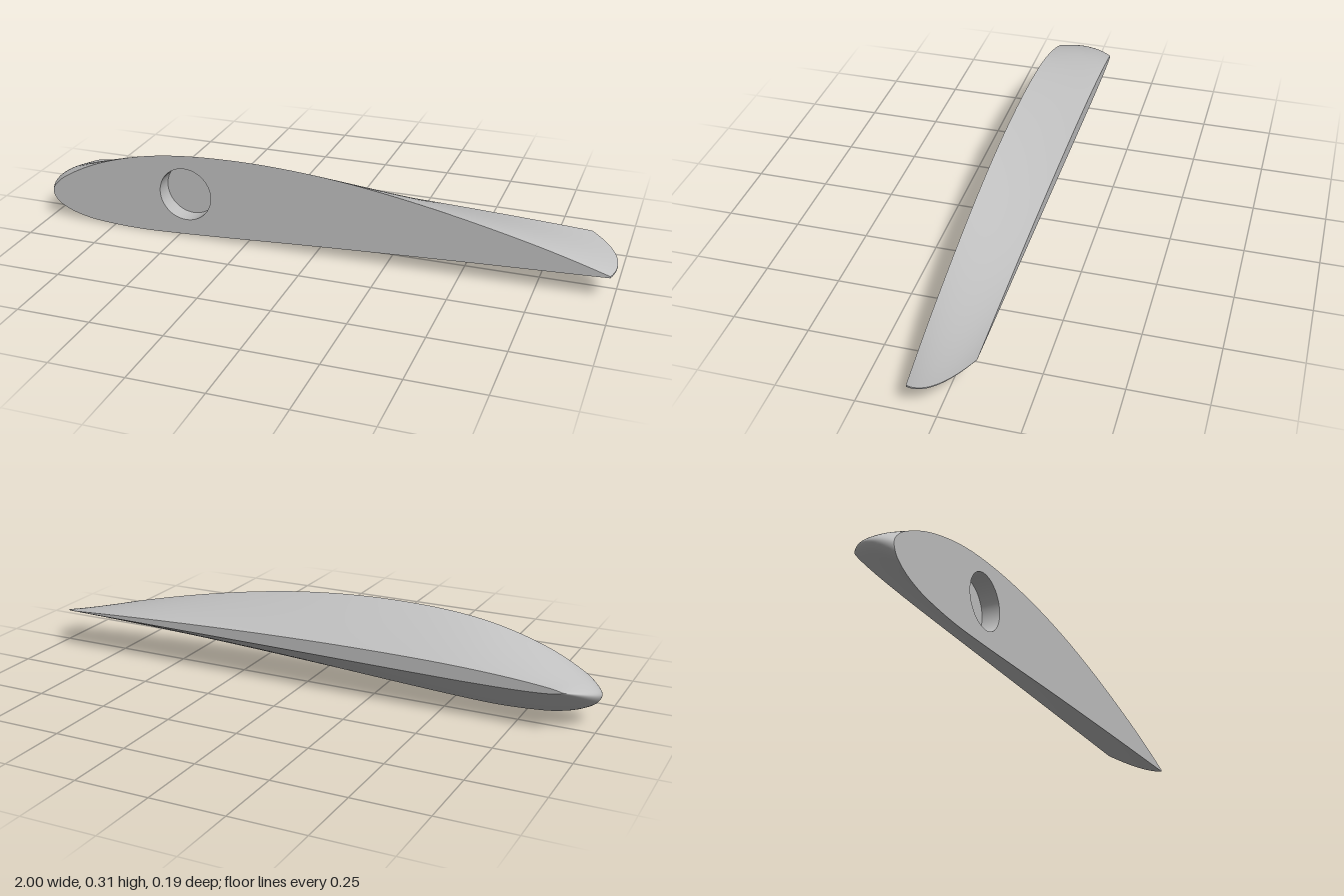
import * as THREE from 'three';

const DEPTH = 0.093; // half span in z
const HOLE = { x: -0.47, y: 0.157, r: 0.095, depth: 0.063 };

// Quadratic through values at t = -1 (tip), 0 (middle), 1 (root)
const quad = (a, b, c, t) => b + ((c - a) / 2) * t + ((a + c) / 2 - b) * t * t;

// Root aerofoil, from the upper trailing edge round the nose to the lower one
const ROOT = [
  [0.986, 0.088], [0.85, 0.129], [0.72, 0.164], [0.5, 0.215], [0.3, 0.254], [0.1, 0.284],
  [-0.1, 0.302], [-0.3, 0.307], [-0.5, 0.297], [-0.65, 0.273], [-0.8, 0.228], [-0.9, 0.181],
  [-0.96, 0.141], [-0.988, 0.102], [-0.975, 0.066], [-0.93, 0.036], [-0.85, 0.013],
  [-0.75, 0.003], [-0.64, 0], [-0.5, 0.005], [-0.3, 0.016], [0, 0.034], [0.5, 0.06], [0.986, 0.082],
];
const profile = new THREE.CatmullRomCurve3(ROOT.map(([x, y]) => new THREE.Vector3(x, y, 0)))
  .getPoints(138)
  .map((p) => [(p.x + 0.988) / 1.974, p.y / 0.307]);

// Cross-section at t: chord bows out at both ends while thickness shrinks to the tip
function section(t) {
  const left = -quad(0.91, 0.993, 0.988, t);
  const right = quad(0.896, 0.99, 0.986, t);
  const low = quad(0.135, 0.062, 0, t);
  const high = quad(0.187, 0.253, 0.307, t);
  return profile.map(([u, v]) => [left + (right - left) * u, low + (high - low) * v]);
}

// Surface through matching rows of points, rows running from back to front
function loft(rows) {
  const n = rows[0].length;
  const pos = [];
  const index = [];
  rows.forEach((row, j) => {
    const z = -DEPTH + (2 * DEPTH * j) / (rows.length - 1);
    row.forEach(([x, y], i) => {
      pos.push(x, y, z);
      if (j && i) {
        const d = j * n + i, c = d - 1, b = d - n, a = b - 1;
        index.push(a, b, d, a, d, c);
      }
    });
  });
  const g = new THREE.BufferGeometry();
  g.setAttribute('position', new THREE.Float32BufferAttribute(pos, 3));
  g.setIndex(index);
  g.computeVertexNormals();
  return g;
}

const outline = (points) => new THREE.Shape(points.map(([x, y]) => new THREE.Vector2(x, y)));

export function createModel() {
  const group = new THREE.Group();
  group.name = 'wingSection';
  const grey = new THREE.MeshStandardMaterial({ color: 0xc0c0c0, side: THREE.DoubleSide });
  grey.name = 'light grey';
  const add = (name, geometry) => {
    const mesh = new THREE.Mesh(geometry, grey);
    mesh.name = name;
    group.add(mesh);
    return mesh;
  };

  const rows = Array.from({ length: 25 }, (_, j) => section(-1 + j / 12));

  // Curved skin and the thin blunt trailing edge
  add('skin', loft(rows));
  add('trailingEdge', loft(rows.map((r) => [r[r.length - 1], r[0]])));

  // Flat root face with the round spar opening
  const root = outline(rows[rows.length - 1]);
  root.holes.push(new THREE.Path().absarc(HOLE.x, HOLE.y, HOLE.r, 0, Math.PI * 2, true));
  add('rootFace', new THREE.ShapeGeometry(root, 32)).position.z = DEPTH;

  // Flat tip face, turned to look backwards
  const tip = new THREE.ShapeGeometry(outline(rows[0].map(([x, y]) => [-x, y])));
  tip.rotateY(Math.PI);
  add('tipFace', tip).position.z = -DEPTH;

  // Blind spar socket
  const wall = new THREE.CylinderGeometry(HOLE.r, HOLE.r, HOLE.depth, 64, 1, true);
  wall.rotateX(Math.PI / 2);
  add('socketWall', wall).position.set(HOLE.x, HOLE.y, DEPTH - HOLE.depth / 2);
  add('socketFloor', new THREE.CircleGeometry(HOLE.r, 64))
    .position.set(HOLE.x, HOLE.y, DEPTH - HOLE.depth);

  return group;
}
